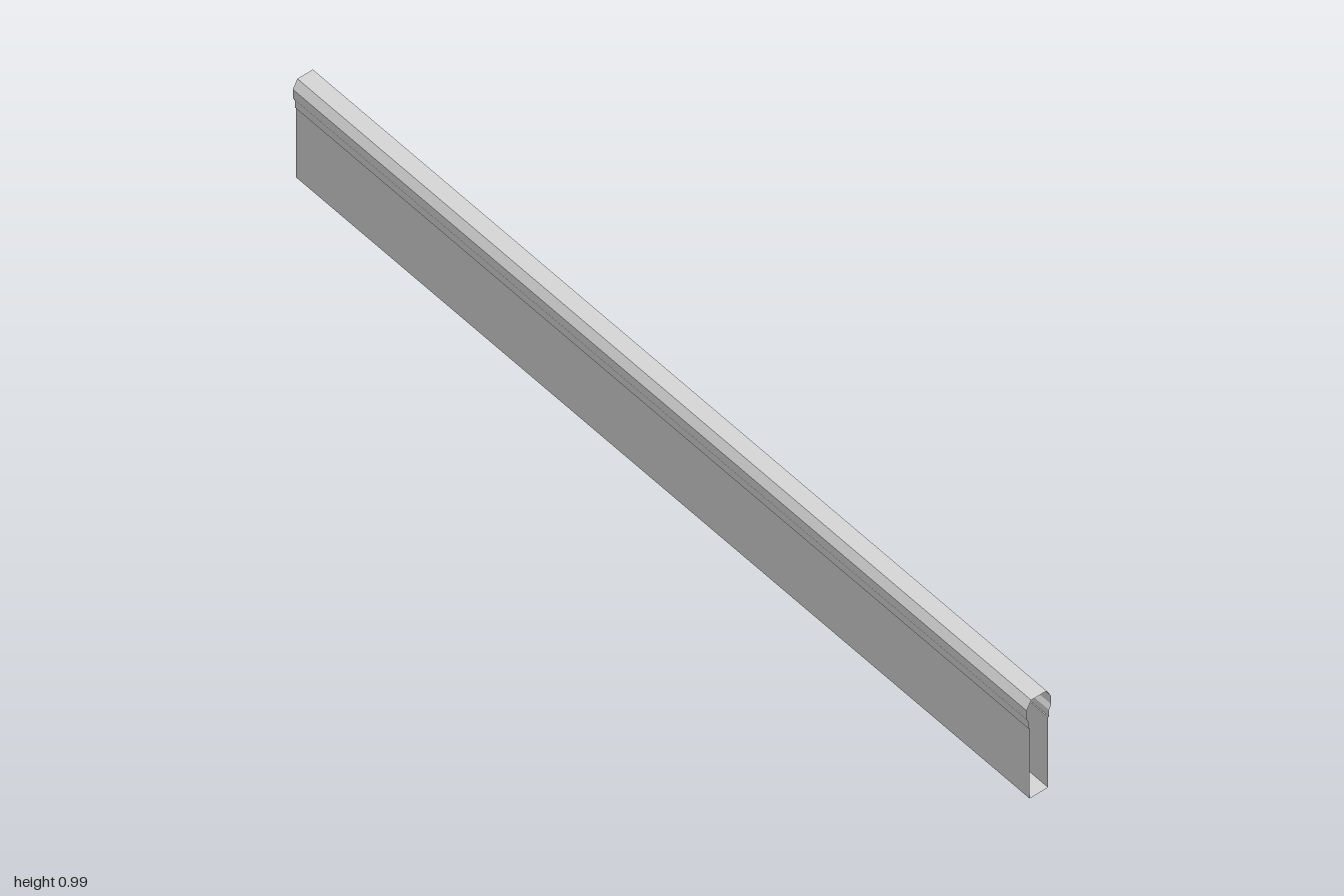
import * as THREE from 'three';

const RISE = 0.375; // climb per unit of depth, towards the back

// Sweeps an open profile (counter-clockwise from the front) up the slope; ends stay open and upright.
function slopedSweep(name, profile, material) {
  const positions = [];
  const at = ([x, y], z) => [x, y + RISE * (1 - z), z];
  for (let i = 0; i < profile.length - 1; i++) {
    const a = profile[i], b = profile[i + 1];
    const aF = at(a, 1), aB = at(a, -1), bF = at(b, 1), bB = at(b, -1);
    positions.push(...aF, ...aB, ...bB, ...aF, ...bB, ...bF);
  }
  const geometry = new THREE.BufferGeometry();
  geometry.setAttribute('position', new THREE.Float32BufferAttribute(positions, 3));
  geometry.computeVertexNormals();
  const mesh = new THREE.Mesh(geometry, material);
  mesh.name = name;
  return mesh;
}

// Completes a right-hand half profile with its mirror image.
const mirrored = (half) => [...half, ...half.map(([x, y]) => [-x, y]).reverse()];

export function createModel() {
  const group = new THREE.Group();
  group.name = 'slopedRailing';
  const material = new THREE.MeshStandardMaterial({
    color: 0xcccccc, flatShading: true, side: THREE.DoubleSide,
  });

  // Hollow wall: two sides and a floor
  const wall = [[-0.03, 0.17], [-0.03, 0], [0.03, 0], [0.03, 0.17]];
  group.add(slopedSweep('wall', wall, material));

  // Handrail: small ledge, flared underside, side and chamfered top
  const rail = mirrored([
    [0.03, 0.17], [0.033, 0.17], [0.033, 0.186], [0.04, 0.197], [0.04, 0.217], [0.025, 0.236],
  ]);
  group.add(slopedSweep('handrail', rail, material));

  return group;
}
